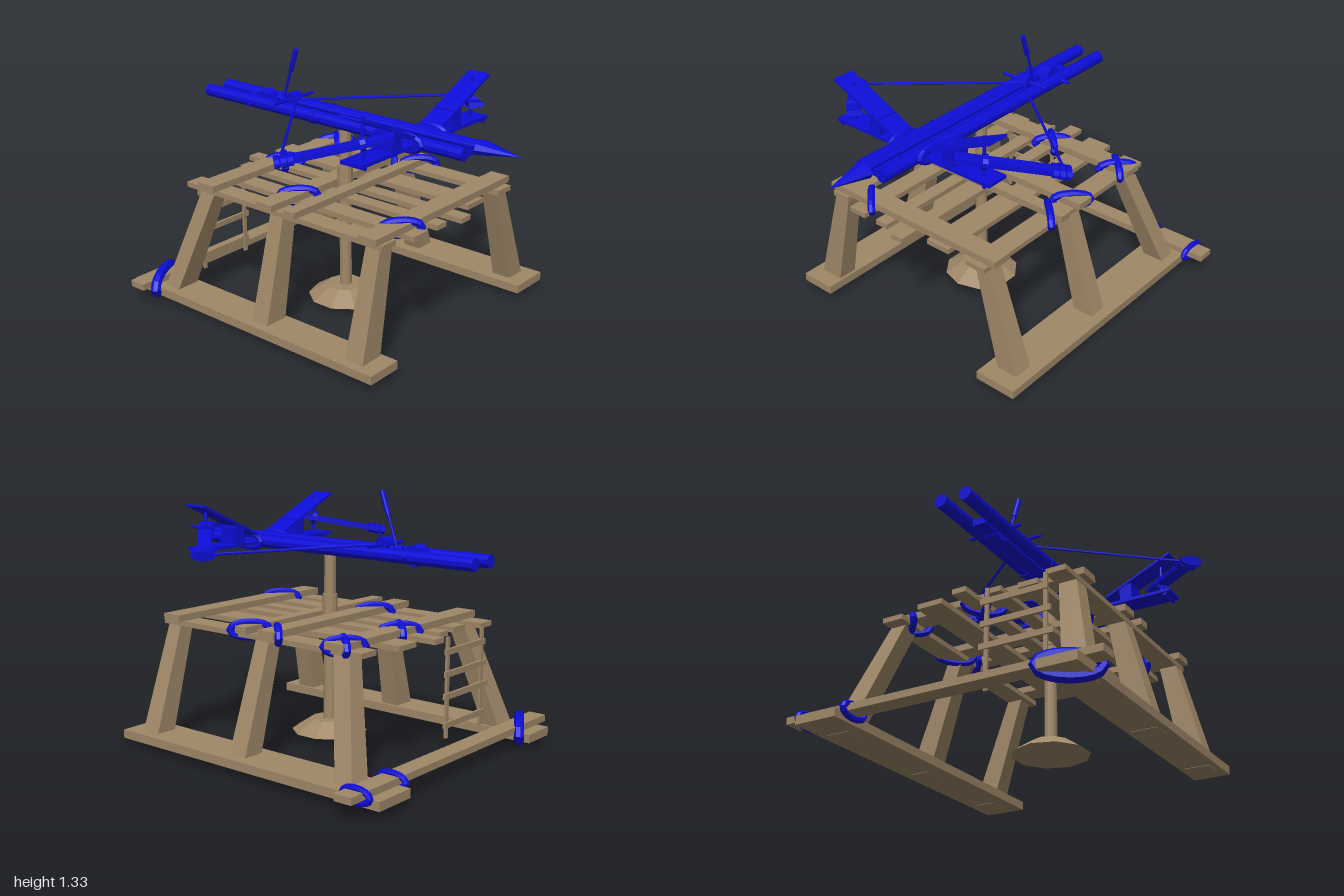
import * as THREE from 'three';

const wood = new THREE.MeshStandardMaterial({ color: 0xa08868, flatShading: true });
const blue = new THREE.MeshStandardMaterial({ color: 0x0d0dd8, flatShading: true });
const V = (x, y, z) => new THREE.Vector3(x, y, z);
const CX = -0.09; // centre line of the weapon

export function createModel() {
  const model = new THREE.Group();

  function add(name, geometry, material, parent = model) {
    const mesh = new THREE.Mesh(geometry, material);
    mesh.name = name;
    parent.add(mesh);
    return mesh;
  }
  // Box given by its limits on each axis
  function box(name, x0, x1, y0, y1, z0, z1, material = wood) {
    const m = add(name, new THREE.BoxGeometry(x1 - x0, y1 - y0, z1 - z0), material);
    m.position.set((x0 + x1) / 2, (y0 + y1) / 2, (z0 + z1) / 2);
    return m;
  }
  // Box stretched between two points
  function bar(name, a, b, w, h, material = blue) {
    const m = add(name, new THREE.BoxGeometry(w, h, a.distanceTo(b)), material);
    m.position.copy(a).lerp(b, 0.5);
    m.lookAt(b);
    return m;
  }
  // Round rod between two points, r0 at a and r1 at b
  function rod(name, a, b, r0, r1 = r0, material = blue, sides = 10) {
    const m = add(name, new THREE.CylinderGeometry(r1, r0, a.distanceTo(b), sides), material);
    m.position.copy(a).lerp(b, 0.5);
    m.quaternion.setFromUnitVectors(V(0, 1, 0), b.clone().sub(a).normalize());
    return m;
  }
  // Oval rope loop standing upright, turned about y
  function rope(name, x, y, z, angle, halfWidth, halfHeight, r = 0.02) {
    const pts = [];
    for (let i = 0; i < 12; i++) {
      const t = (i / 12) * Math.PI * 2;
      pts.push(V(Math.cos(t) * halfWidth, Math.sin(t) * halfHeight, 0));
    }
    const curve = new THREE.CatmullRomCurve3(pts, true);
    const m = add(name, new THREE.TubeGeometry(curve, 20, r, 7, true), blue);
    m.position.set(x, y, z);
    m.rotation.y = angle;
  }
  // Slanted, tapering leg between a foot rectangle and a head rectangle
  function leg(name, foot, head) {
    const g = new THREE.BoxGeometry(1, 1, 1);
    const p = g.attributes.position;
    for (let i = 0; i < p.count; i++) {
      const up = p.getY(i) > 0;
      const [x0, x1, z0, z1] = up ? head : foot;
      p.setXYZ(i, p.getX(i) < 0 ? x0 : x1, up ? 0.655 : 0.043, p.getZ(i) < 0 ? z0 : z1);
    }
    g.computeVertexNormals();
    add(name, g, wood);
  }

  // Ground skids and rear tie beam
  box('rightSkid', -0.745, -0.55, 0.045, 0.09, -1, 0.66);
  box('leftSkid', 0.495, 0.725, 0.045, 0.09, -1, 0.66);
  box('rearTieBeam', -0.83, 0.84, 0.09, 0.125, -0.935, -0.84);

  // Three legs on each side: foot z range, head z range
  for (const [name, f0, f1, h0, h1] of [
    ['frontLeg', 0.46, 0.57, 0.47, 0.555],
    ['middleLeg', -0.155, -0.05, -0.145, -0.06],
    ['rearLeg', -0.82, -0.72, -0.635, -0.54]]) {
    leg(name + 'Right', [-0.71, -0.575, f0, f1], [-0.55, -0.46, h0, h1]);
    leg(name + 'Left', [0.565, 0.685, f0, f1], [0.39, 0.475, h0, h1]);
  }

  // Platform: lengthwise planks under crosswise beams
  for (const [x0, x1, z0, z1] of [
    [-0.56, -0.455, -0.75, 0.57], [-0.385, -0.28, -0.7, 0.62],
    [-0.2, -0.125, -0.72, 0.62], [-0.055, 0.02, -0.795, 0.66],
    [0.11, 0.25, -0.75, 0.58], [0.37, 0.485, -0.71, 0.59]])
    box('platformPlank', x0, x1, 0.628, 0.655, z0, z1);
  for (const [z0, z1] of [[-0.63, -0.52], [-0.205, -0.105], [-0.025, 0.045], [0.445, 0.555]])
    box('platformBeam', -0.59, 0.52, 0.655, 0.69, z0, z1);

  // Swivel post on a conical foot
  rod('postFoot', V(CX, 0.045, -0.055), V(CX, 0.11, -0.055), 0.2, 0.1, wood);
  rod('post', V(CX, 0.05, -0.055), V(CX, 1.01, -0.055), 0.033, 0.03, wood, 12);
  rod('postSleeve', V(CX, 0.63, -0.055), V(CX, 0.78, -0.055), 0.04, 0.04, wood, 12);

  // Ladder at the back
  for (const x of [-0.46, -0.15]) box('ladderRail', x - 0.01, x + 0.01, 0.12, 0.635, -0.762, -0.748);
  for (const [y, x0, x1] of [[0.19, -0.485, -0.12], [0.337, -0.505, -0.115], [0.45, -0.49, -0.12], [0.563, -0.475, -0.12]])
    box('ladderRung', x0, x1, y - 0.015, y + 0.015, -0.77, -0.755);

  // Rope lashings on the frame
  const q = Math.PI / 4;
  for (const [x, z, a] of [
    [0.425, -0.565, q], [0.425, -0.565, -q], [-0.01, -0.565, q], [-0.01, -0.565, -q],
    [-0.34, -0.155, -q], [0.43, -0.155, q], [0.43, 0.03, -q], [-0.34, 0.51, -q]])
    rope('platformLashing', x, 0.66, z, a, 0.1, 0.037);
  for (const x of [0.48, 0.745]) rope('tieLashing', x, 0.1, -0.888, Math.PI / 2, 0.077, 0.033, 0.016);
  rope('cornerLashing', -0.645, 0.085, -0.885, Math.atan2(0.15, 0.255), 0.145, 0.054, 0.027);

  // Stock: two round rails with a flat bed between them
  for (const s of [-1, 1]) {
    const x = CX + s * 0.068;
    rod('stockRail', V(x, 1.028, -0.98), V(x, 1.028, 0.735), 0.034);
    for (const z of [-0.2, 0.22]) rod('railBand', V(x, 1.028, z - 0.012), V(x, 1.028, z + 0.012), 0.038);
    rope('bowLashing', CX + s * 0.1, 1.03, 0.42, Math.PI / 2, 0.085, 0.035, 0.018);
  }
  box('stockBed', CX - 0.036, CX + 0.036, 1.0, 1.035, -0.75, 0.72, blue);

  // Bolt with broad head
  rod('boltShaft', V(CX, 1.053, -0.52), V(CX, 1.053, 0.8), 0.015);
  const head = rod('boltHead', V(CX, 1.055, 0.775), V(CX, 1.055, 1), 0.058, 0, blue, 8);
  head.scale.z = 0.66;

  // Winding drums and trigger lever
  for (const [y, z, r] of [[1.07, -0.41, 0.038], [1.03, -0.605, 0.056]]) {
    rod('drum', V(CX - 0.036, y, z), V(CX + 0.036, y, z), r, r, blue, 8);
    rod('drumAxle', V(CX - 0.145, y, z), V(CX + 0.145, y, z), 0.009);
  }
  rod('triggerLever', V(CX, 1.04, -0.488), V(CX, 1.23, -0.422), 0.007);
  rod('leverGrip', V(CX, 1.215, -0.427), V(CX, 1.335, -0.385), 0.013);

  // Bow frame and throwing arms, mirrored about the stock
  box('bowBasePlate', -0.595, 0.415, 1.015, 1.032, 0.35, 0.475, blue);
  for (const s of [-1, 1]) {
    const P = (off, y, z) => V(CX + s * off, y, z);
    const plate = bar('bowTopPlate', P(0.07, 1.05, 0.415), P(0.508, 1.247, 0.415), 0.125, 0.012);
    plate.name = s > 0 ? 'bowTopPlateLeft' : 'bowTopPlateRight';
    const bx = CX + s * 0.24;
    box('bowBlock', bx - 0.035, bx + 0.035, 1.02, 1.125, 0.36, 0.47, blue);
    rod('cordBundle', P(0.43, 1.02, 0.42), P(0.43, 1.24, 0.42), 0.009);
    rod('bowPeg', P(0.472, 1.01, 0.36), P(0.472, 1.01, 0.475), 0.01);

    const inner = P(0.33, 1.135, 0.52), tip = P(0.71, 1.038, 0.155);
    bar('throwingArm', inner, tip, 0.07, 0.026);
    const along = (t) => inner.clone().lerp(tip, t);
    // Flattened rope wraps at the pivot and tip
    for (const [t, w, h] of [[0.27, 0.045, 0.035], [0.89, 0.062, 0.026], [0.95, 0.066, 0.028], [1.01, 0.06, 0.026]]) {
      const g = new THREE.CylinderGeometry(1, 1, 0.026, 10).rotateX(Math.PI / 2).scale(w, h, 1);
      const wrap = add('armWrap', g, blue);
      wrap.position.copy(along(t));
      wrap.lookAt(along(t + 1));
    }
    rod('bowString', P(0.68, 1.04, 0.14), P(0, 1.068, -0.39), 0.007, 0.007, blue, 6);
  }
  return model;
}
